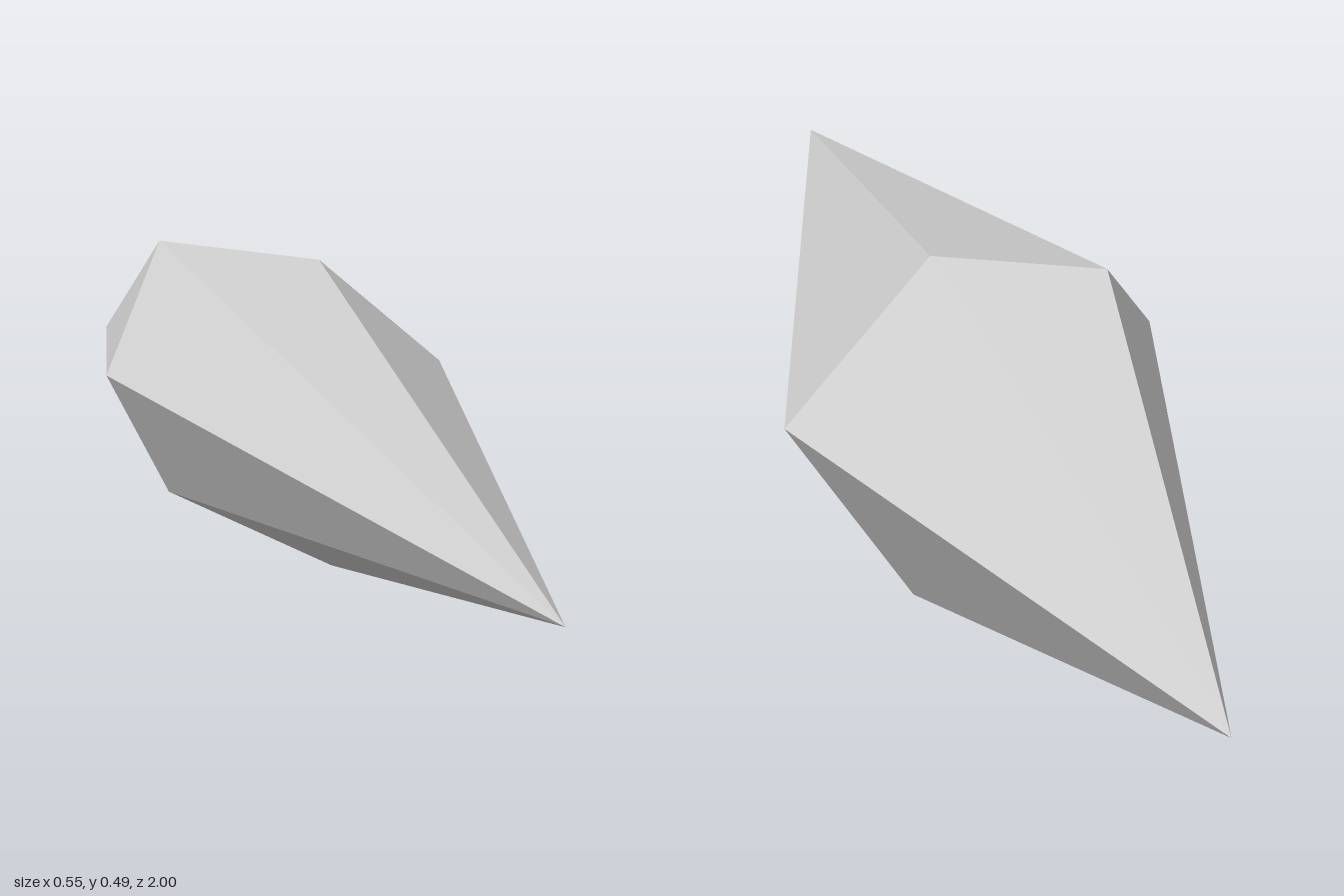
import * as THREE from 'three';

export function createModel() {
  const group = new THREE.Group();
  group.name = 'shard';

  const stoneGrey = new THREE.MeshStandardMaterial({ color: 0xcccccc });
  stoneGrey.name = 'stone grey';

  // Two points and the uneven girdle between them, counterclockwise from the front
  const frontTip = [-0.095, 0.197, 1];
  const backTip = [-0.02, 0.268, -1];
  const girdle = [
    [-0.148, 0.49, -0.27],
    [-0.277, 0.32, -0.11],
    [-0.19, 0.15, -0.1],
    [0.095, 0, -0.2],
    [0.276, 0.299, -0.22],
    [0.045, 0.47, -0.12],
  ];

  // One flat facet per girdle edge, fanned to a tip
  const addFacets = (name, tip, isFront) => {
    const corners = [];
    girdle.forEach((a, i) => {
      const b = girdle[(i + 1) % girdle.length];
      corners.push(...tip, ...(isFront ? a : b), ...(isFront ? b : a));
    });
    const geometry = new THREE.BufferGeometry();
    geometry.setAttribute('position', new THREE.Float32BufferAttribute(corners, 3));
    geometry.computeVertexNormals();
    const mesh = new THREE.Mesh(geometry, stoneGrey);
    mesh.name = name;
    group.add(mesh);
  };

  addFacets('frontPoint', frontTip, true);
  addFacets('backPoint', backTip, false);

  return group;
}
